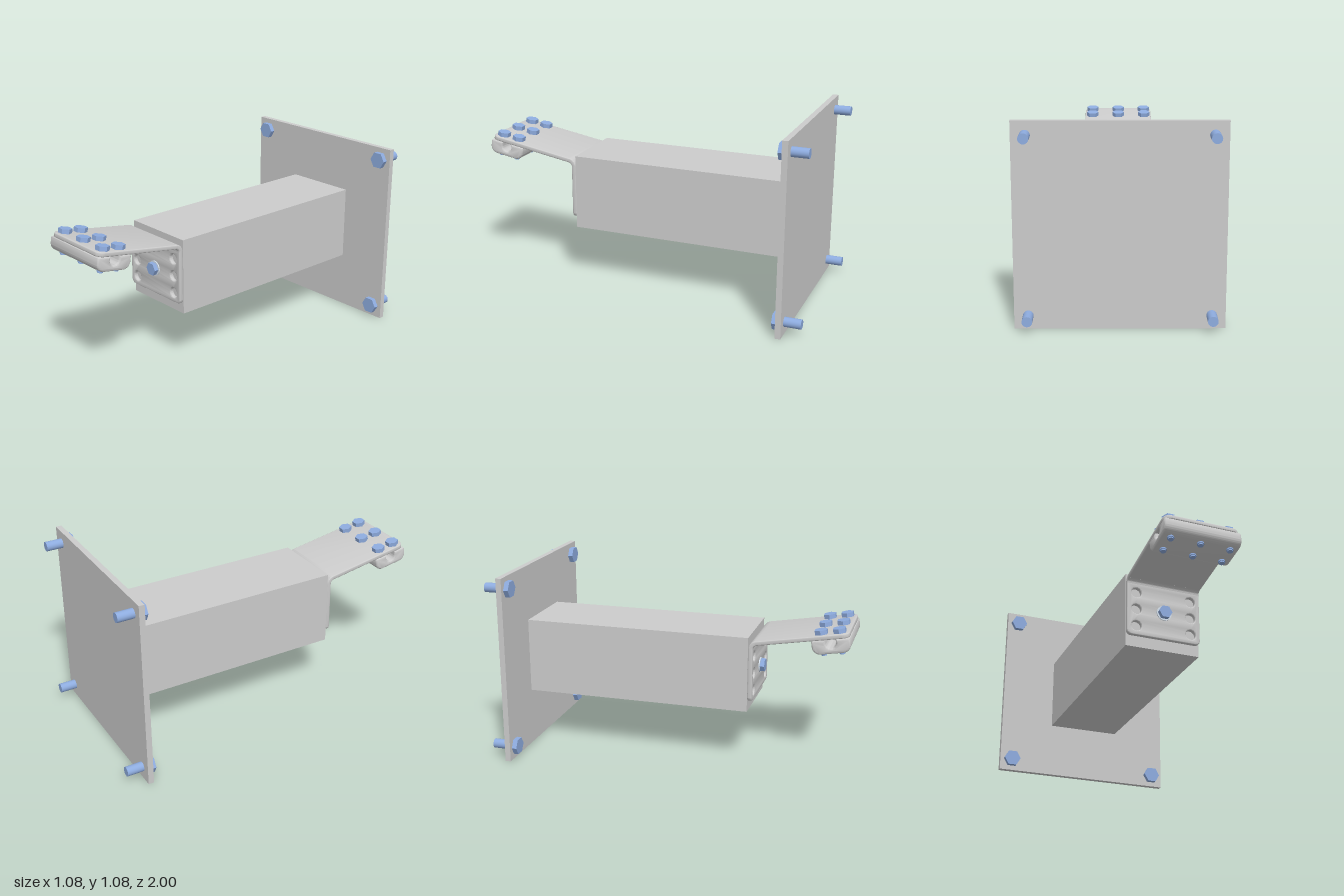
import * as THREE from 'three';
import { toCreasedNormals } from 'three/addons/utils/BufferGeometryUtils.js';

const grey = new THREE.MeshStandardMaterial({ color: 0xcccccc });
const blue = new THREE.MeshStandardMaterial({ color: 0x8eacdf });
const pale = new THREE.MeshStandardMaterial({ color: 0xd6e2ee });

const THICK = 0.026, HALF = 0.215, EDGE = 0.006;
const TILT = 0.171; // upward slope of the bracket arm

function add(parent, name, geometry, material, x = 0, y = 0, z = 0) {
  const mesh = new THREE.Mesh(geometry, material);
  mesh.name = name;
  mesh.position.set(x, y, z);
  parent.add(mesh);
  return mesh;
}

// Extrusion with softened edges that stays inside its outline; spans z = 0..depth
function softExtrude(shape, depth, bevel, segments = 3) {
  const geo = new THREE.ExtrudeGeometry(shape, {
    depth: depth - 2 * bevel, curveSegments: 16, bevelEnabled: true,
    bevelSize: bevel, bevelThickness: bevel, bevelOffset: -bevel, bevelSegments: segments,
  });
  return toCreasedNormals(geo.translate(0, 0, bevel), 0.6);
}

// Turns a (z, y) profile into a bar running along x, centred
function bar(shape, halfWidth, bevel, segments) {
  return softExtrude(shape, 2 * halfWidth, bevel, segments)
    .translate(0, 0, -halfWidth).rotateY(-Math.PI / 2);
}

// Plate hanging down from y = 0, with its two lower corners rounded
function tab(length, r, holes = []) {
  const s = new THREE.Shape();
  s.moveTo(HALF, 0);
  s.lineTo(-HALF, 0);
  s.lineTo(-HALF, -length + r);
  s.absarc(-HALF + r, -length + r, r, Math.PI, 1.5 * Math.PI, false);
  s.absarc(HALF - r, -length + r, r, 1.5 * Math.PI, 2 * Math.PI, false);
  s.closePath();
  for (const [x, y, radius] of holes) {
    s.holes.push(new THREE.Path().absarc(x, y, radius, 0, Math.PI * 2, true));
  }
  return softExtrude(s, THICK, EDGE);
}

// Hex bolt along y: the head stands on y = 0 and the shank runs down
function bolt(name, headRadius, headHeight, shankRadius, length) {
  const g = new THREE.Group();
  g.name = name;
  const head = new THREE.CylinderGeometry(headRadius, headRadius, headHeight, 6).rotateY(Math.PI / 6);
  add(g, 'boltHead', toCreasedNormals(head, 0.5), blue, 0, headHeight / 2, 0);
  add(g, 'boltShank', new THREE.CylinderGeometry(shankRadius, shankRadius, length, 24), blue, 0, -length / 2, 0);
  return g;
}

function wallMount() {
  const g = new THREE.Group();
  g.name = 'wallMount';
  add(g, 'wallPlate', new THREE.BoxGeometry(1.08, 1.08, 0.032), grey, 0, 0.54, -0.889);
  add(g, 'beam', new THREE.BoxGeometry(0.43, 0.433, 1.314), grey, 0, 0.5435, -0.217);
  for (const x of [-0.468, 0.468]) {
    for (const y of [0.072, 1.008]) {
      const b = bolt('anchorBolt', 0.05, 0.028, 0.027, 0.127);
      b.rotation.x = Math.PI / 2;
      b.position.set(x, y, -0.873);
      g.add(b);
    }
  }
  return g;
}

function bracket() {
  const g = new THREE.Group();
  g.name = 'bracket';
  const bendY = 0.694, bendZ = 0.49, outer = 0.05;

  // Upright flange with two columns of holes
  const top = bendY + EDGE;
  const holes = [];
  for (const x of [-0.16, 0.16]) {
    for (const y of [0.442, 0.542, 0.642]) holes.push([x, y - top, 0.029]);
  }
  add(g, 'flange', tab(top - 0.388, 0.026, holes), grey, 0, top, 0.44);

  // Curved bend between flange and arm
  const s = new THREE.Shape();
  s.absarc(0, 0, outer, Math.PI / 2 + TILT, Math.PI, false);
  s.absarc(0, 0, outer - THICK, Math.PI, Math.PI / 2 + TILT, true);
  s.closePath();
  add(g, 'bend', bar(s, HALF, EDGE), grey, 0, bendY, bendZ);

  // Bolt and washer fixing the flange to the beam
  const washer = new THREE.CylinderGeometry(0.043, 0.043, 0.006, 32).rotateX(Math.PI / 2);
  add(g, 'washer', washer, pale, 0, 0.542, 0.469);
  const b = bolt('flangeBolt', 0.038, 0.025, 0.02, 0.05);
  b.rotation.x = Math.PI / 2;
  b.position.set(0, 0.542, 0.472);
  g.add(b);
  return g;
}

// Sloping arm with the clamp under its tip; the local top face is y = 0
function arm() {
  const g = new THREE.Group();
  g.name = 'arm';
  g.position.set(0, 0.813, 0.885);
  g.rotation.x = -TILT;

  const start = -0.4094 - EDGE, tip = 0.104;
  const plate = tab(tip - start, 0.04).rotateX(-Math.PI / 2);
  add(g, 'armPlate', plate, grey, 0, -THICK, start);

  // Clamp block with a rounded underside and a groove for the cable
  const w = 0.106, yTop = -0.025, yBottom = -0.105, r = 0.044, groove = 0.028, grooveY = -0.046;
  const s = new THREE.Shape();
  s.moveTo(-w + 0.012, yTop);
  s.quadraticCurveTo(-w, yTop, -w, yTop - 0.012);
  s.lineTo(-w, yBottom + r);
  s.absarc(-w + r, yBottom + r, r, Math.PI, 1.5 * Math.PI, false);
  s.absarc(w - r, yBottom + r, r, 1.5 * Math.PI, 2 * Math.PI, false);
  s.lineTo(w, yTop - 0.012);
  s.quadraticCurveTo(w, yTop, w - 0.012, yTop);
  s.lineTo(groove, yTop);
  s.absarc(0, grooveY, groove, 0, Math.PI, true);
  s.lineTo(-groove, yTop);
  s.closePath();
  add(g, 'clamp', bar(s, 0.219, 0.013, 5), grey);

  // Two rows of three clamp bolts, each with a nut below
  for (const x of [-0.168, 0, 0.168]) {
    for (const z of [-0.05, 0.05]) {
      const b = bolt('clampBolt', 0.038, 0.025, 0.015, 0.121);
      add(b, 'nut', new THREE.CylinderGeometry(0.019, 0.019, 0.01, 24), blue, 0, -0.109, 0);
      b.position.set(x, 0, z);
      g.add(b);
    }
  }
  return g;
}

export function createModel() {
  const model = new THREE.Group();
  model.name = 'bracketArm';
  model.add(wallMount(), bracket(), arm());
  return model;
}
